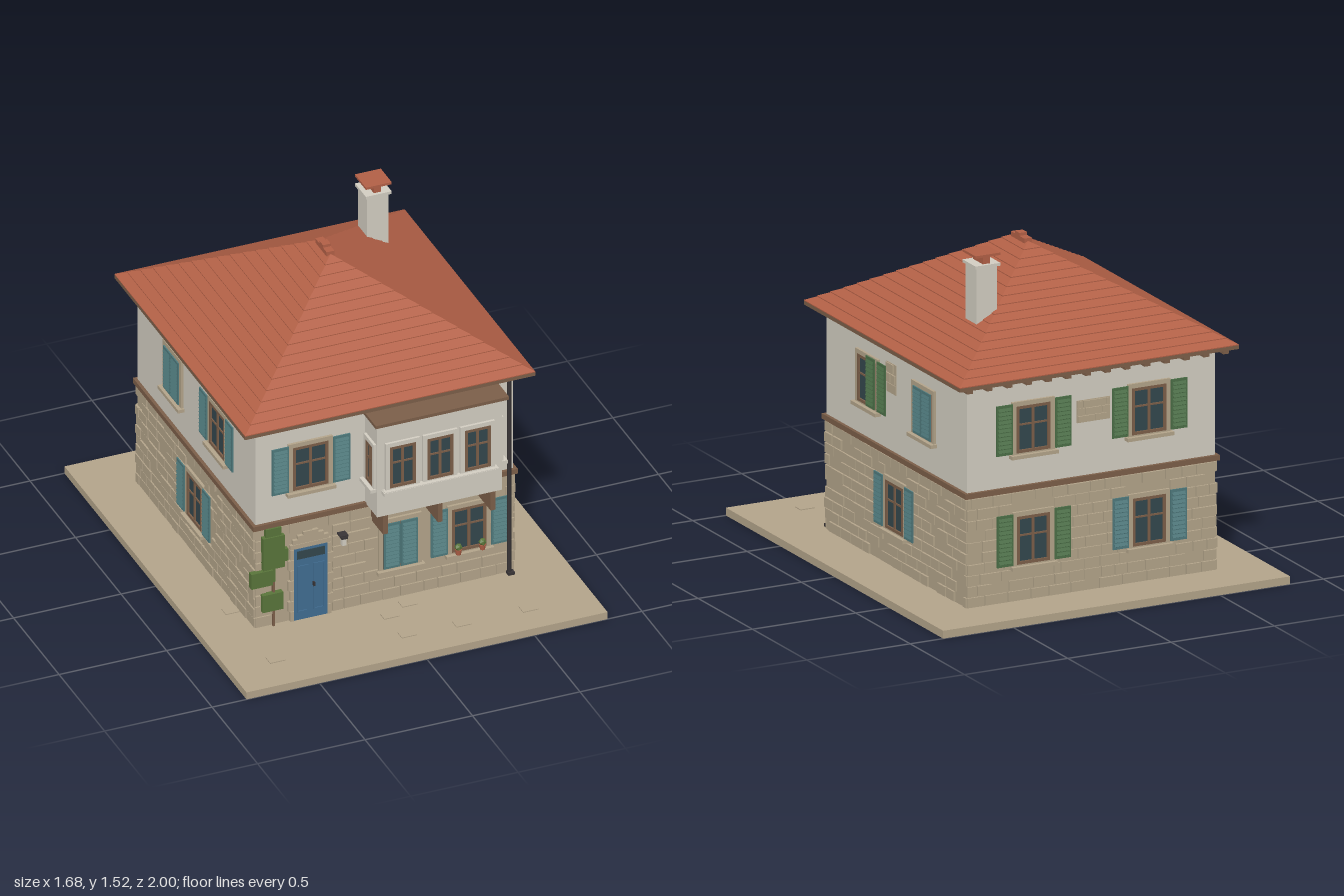
import * as THREE from 'three';
import { mergeGeometries } from 'three/addons/utils/BufferGeometryUtils.js';

const mat = (name, color) => Object.assign(new THREE.MeshStandardMaterial({ color }), { name });
const M = {
  plaster: mat('plaster', 0xd3cec2), stone: mat('stone', 0xb3a48a), roof: mat('roofTile', 0xb26046),
  wood: mat('wood', 0x7c5f49), teal: mat('tealPaint', 0x4f7a7d), green: mat('greenPaint', 0x4c7048),
  leaf: mat('leaf', 0x59753a), glass: mat('glass', 0x33474d), blue: mat('bluePaint', 0x416d92),
  iron: mat('iron', 0x383436),
};

let seed = 11;
const rnd = () => (seed = (seed * 16807) % 2147483647) / 2147483647;

// box geometry from its limits
function boxGeo(x0, x1, y0, y1, z0, z1) {
  return new THREE.BoxGeometry(x1 - x0, y1 - y0, z1 - z0)
    .translate((x0 + x1) / 2, (y0 + y1) / 2, (z0 + z1) / 2);
}
function add(parent, name, material, ...geos) {
  const mesh = new THREE.Mesh(geos.length > 1 ? mergeGeometries(geos) : geos[0], material);
  mesh.name = name;
  parent.add(mesh);
  return mesh;
}
const box = (parent, name, material, ...lim) => add(parent, name, material, boxGeo(...lim));

// group whose local z = 0 plane is a wall surface, z pointing outwards
function face(parent, name, x, z, turn) {
  const g = new THREE.Group();
  g.name = name;
  g.position.set(x, 0, z);
  g.rotation.y = turn * Math.PI / 2;
  parent.add(g);
  return g;
}

// rectangular ring of four bars, t wide, outside the given opening
const ring = (x0, x1, y0, y1, t, z0, z1) => [
  boxGeo(x0 - t, x0, y0 - t, y1 + t, z0, z1), boxGeo(x1, x1 + t, y0 - t, y1 + t, z0, z1),
  boxGeo(x0, x1, y1, y1 + t, z0, z1), boxGeo(x0, x1, y0 - t, y0, z0, z1)];

// louvred shutter
function shutter(g, material, x, y0, y1, w) {
  const geos = [boxGeo(x - w / 2, x + w / 2, y0, y1, 0.012, 0.018)];
  const n = 11, step = (y1 - y0 - 0.02) / n;
  for (let i = 0; i < n; i++) {
    geos.push(new THREE.BoxGeometry(w - 0.016, step * 0.75, 0.004).rotateX(-0.4)
      .translate(x, y0 + 0.01 + step * (i + 0.5), 0.019));
  }
  add(g, 'shutter', material, ...geos);
}

// window: wood frame w wide from y0 to y1, with surround, sill and shutters
function windowUnit(g, x, y0, y1, w, { paint, closed, half, trim = M.stone, bars = true, sill = 0.03 } = {}) {
  const x0 = x - w / 2, x1 = x + w / 2, f = 0.013;
  box(g, 'windowGlass', M.glass, x0, x1, y0, y1, 0, 0.005);
  const frame = ring(x0 + f, x1 - f, y0 + f, y1 - f, f, 0, 0.013);
  if (bars) {
    const yb = y0 + (y1 - y0) * 0.6;
    frame.push(boxGeo(x - 0.006, x + 0.006, y0 + f, y1 - f, 0, 0.011),
      boxGeo(x0 + f, x1 - f, yb - 0.004, yb + 0.004, 0, 0.01));
  }
  add(g, 'windowFrame', M.wood, ...frame);
  add(g, 'windowSurround', trim, ...ring(x0, x1, y0, y1, 0.02, 0, 0.012));
  box(g, 'windowSill', trim, x0 - sill, x1 + sill, y0 - 0.022, y0 - 0.006, 0, 0.03);
  if (!paint) return;
  const top = y1 + 0.015;
  if (closed) for (const s of [-1, 1]) shutter(g, paint, x + s * w / 4, y0, y1, w / 2 - 0.003);
  else {
    shutter(g, paint, x + w / 2 + 0.06, y0, top, 0.078);
    shutter(g, paint, half ? x + w / 4 : x - w / 2 - 0.06, y0, top, 0.078);
  }
}

// coursed blocks over a rectangle, cut back at openings [x0, x1, y0, y1]
function masonry(g, x0, x1, y0, y1, rows, openings, keep = () => rnd() < 0.9) {
  const h = (y1 - y0) / rows, geos = [];
  for (let r = 0; r < rows; r++) {
    const a = y0 + r * h, b = a + h;
    for (let x = x0 - rnd() * 0.05; x < x1;) {
      let l = Math.max(x, x0), e = Math.min(x += 0.06 + rnd() * 0.06, x1);
      for (const [p, q, s, t] of openings) {
        if (b <= s || a >= t || e <= p || l >= q) continue;
        if ((l + e) / 2 < (p + q) / 2) e = p; else l = q;
      }
      if (e - l > 0.02 && keep((l + e) / 2, (a + b) / 2)) {
        geos.push(boxGeo(l + 0.003, e - 0.003, a + 0.003, b - 0.003, 0, 0.006 + rnd() * 0.005));
      }
    }
  }
  add(g, 'stoneBlocks', M.stone, ...geos);
}

// hipped roof lofted in slightly stepped tile courses
function hipRoof() {
  const rings = [], pos = [], courses = 16;
  for (let k = 0; k <= courses; k++) {
    const t = k / courses, hx = 0.675 * (1 - t), hz = 0.7175 * (1 - t) + 0.062 * t, y = 1.052 + 0.385 * t;
    for (const lift of [0, 0.004]) {
      rings.push([[hx, hz], [hx, -hz], [-hx, -hz], [-hx, hz]].map(([x, z]) => [x, y + lift, z - 0.1225]));
    }
  }
  for (let k = 0; k + 1 < rings.length; k++) {
    for (let i = 0; i < 4; i++) {
      const j = (i + 1) % 4, [a, b, c, d] = [rings[k][i], rings[k][j], rings[k + 1][j], rings[k + 1][i]];
      pos.push(...a, ...b, ...c, ...a, ...c, ...d);
    }
  }
  const geo = new THREE.BufferGeometry();
  geo.setAttribute('position', new THREE.Float32BufferAttribute(pos, 3));
  geo.computeVertexNormals();
  return geo;
}

export function createModel() {
  const house = new THREE.Group();
  house.name = 'house';

  // ground and flagstones
  box(house, 'ground', M.stone, -0.84, 0.84, 0, 0.035, -1, 1);
  for (const [x, z] of [[-0.62, 0.8], [-0.02, 0.83], [-0.03, 0.66], [0.08, 0.6], [0.23, 0.84], [0.54, 0.84], [-0.64, 0.36]]) {
    box(house, 'flagstone', M.stone, x - 0.035, x + 0.035, 0.035, 0.039, z - 0.025, z + 0.025);
  }

  // storeys and dividing band
  box(house, 'lowerStorey', M.stone, -0.6, 0.6, 0.035, 0.53, -0.765, 0.53);
  box(house, 'upperStorey', M.plaster, -0.6, 0.6, 0.55, 1.04, -0.765, 0.53);
  box(house, 'floorBand', M.wood, -0.615, 0.615, 0.528, 0.552, -0.78, 0.545);

  // roof, eaves and ridge
  add(house, 'roof', M.roof, hipRoof());
  box(house, 'eaves', M.wood, -0.675, 0.675, 1.035, 1.052, -0.84, 0.595);
  for (let i = 0; i < 14; i++) {
    const x = -0.62 + i * 0.0954;
    box(house, 'rafterTail', M.wood, x - 0.014, x + 0.014, 1.018, 1.035, -0.83, -0.765);
  }
  box(house, 'ridgeCap', M.roof, -0.018, 0.018, 1.425, 1.45, -0.185, -0.06);
  box(house, 'ridgeKnob', M.roof, -0.018, 0.018, 1.45, 1.463, -0.14, -0.1);

  // chimney
  box(house, 'chimney', M.plaster, 0.31, 0.41, 1.2, 1.457, -0.49, -0.39);
  box(house, 'chimneyCollar', M.plaster, 0.3, 0.42, 1.457, 1.47, -0.5, -0.38);
  box(house, 'chimneyVent', M.roof, 0.343, 0.377, 1.47, 1.505, -0.485, -0.395);
  box(house, 'chimneyCap', M.roof, 0.3, 0.42, 1.505, 1.516, -0.5, -0.38);

  // front wall
  const front = face(house, 'frontWall', 0, 0.53, 0);
  windowUnit(front, -0.347, 0.69, 0.905, 0.165, { paint: M.teal });
  windowUnit(front, 0.07, 0.195, 0.42, 0.16, { paint: M.teal, closed: true });
  windowUnit(front, 0.39, 0.2, 0.415, 0.16, { paint: M.teal });
  masonry(front, -0.605, 0.605, 0.035, 0.525, 9,
    [[-0.45, -0.245, 0, 0.47], [-0.03, 0.17, 0.17, 0.44], [0.29, 0.49, 0.17, 0.44]],
    (x, y) => (x > -0.2 && y < 0.14) || (x > -0.24 && x < -0.06) || Math.abs(x) > 0.56 || rnd() < (y > 0.45 ? 0.6 : 0.2));

  // door with stone surround
  box(front, 'door', M.blue, -0.425, -0.27, 0.035, 0.395, 0, 0.012);
  for (const x of [-0.385, -0.31]) add(front, 'doorPanel', M.blue, ...ring(x - 0.02, x + 0.02, 0.08, 0.3, 0.006, 0.01, 0.016));
  box(front, 'doorLight', M.glass, -0.412, -0.283, 0.34, 0.38, 0.01, 0.015);
  box(front, 'doorHandle', M.iron, -0.338, -0.331, 0.195, 0.215, 0.01, 0.024);
  for (const s of [-1, 1]) {
    for (let i = 0; i < 7; i++) {
      const y = 0.035 + i * 0.0515, w = i % 2 ? 0.105 : 0.095;
      box(front, 'doorJamb', M.stone, ...[s * 0.0775, s * w].sort((a, b) => a - b).map(v => v - 0.3475), y, y + 0.048, 0, 0.015);
    }
  }
  [[0.095, 0.395], [0.083, 0.418], [0.06, 0.436], [0.035, 0.452]].forEach(([w, y]) =>
    box(front, 'doorArch', M.stone, -0.3475 - w, -0.3475 + w, y, y + 0.021, 0, 0.015));

  // wall lamp
  box(front, 'lampArm', M.iron, -0.225, -0.187, 0.425, 0.432, 0, 0.05);
  box(front, 'lampGlass', M.plaster, -0.216, -0.196, 0.382, 0.418, 0.03, 0.05);
  box(front, 'lampCap', M.iron, -0.22, -0.192, 0.416, 0.426, 0.026, 0.054);

  // flower pots
  for (const x of [0.335, 0.447]) {
    add(front, 'flowerPot', M.roof, new THREE.CylinderGeometry(0.015, 0.011, 0.025, 10).translate(x, 0.206, 0.024));
    add(front, 'potPlant', M.leaf, new THREE.IcosahedronGeometry(0.018, 0).translate(x, 0.23, 0.024));
  }

  // climbing vine
  box(front, 'vineStem', M.wood, -0.525, -0.516, 0.035, 0.5, 0, 0.018);
  for (const [x0, x1, y0, y1, d] of [[-0.56, -0.487, 0.48, 0.53, 0.024], [-0.575, -0.475, 0.33, 0.49, 0.03],
    [-0.49, -0.457, 0.355, 0.415, 0.026], [-0.63, -0.53, 0.25, 0.325, 0.03], [-0.57, -0.515, 0.26, 0.34, 0.022],
    [-0.578, -0.482, 0.12, 0.205, 0.03]]) {
    box(front, 'vineLeaves', M.leaf, x0, x1, y0, y1, 0.004, d);
  }

  // downpipe
  add(house, 'downpipe', M.iron, new THREE.CylinderGeometry(0.009, 0.009, 1, 10).translate(0.573, 0.537, 0.55));
  box(house, 'pipeShoe', M.iron, 0.563, 0.593, 0.036, 0.05, 0.54, 0.565);

  // projecting bay
  const bay = new THREE.Group();
  bay.name = 'bay';
  house.add(bay);
  box(bay, 'bayBody', M.plaster, -0.09, 0.49, 0.545, 1.012, 0.53, 0.665);
  box(bay, 'bayRoof', M.wood, -0.11, 0.51, 1.012, 1.027, 0.53, 0.697);
  for (const x of [-0.05, 0.205, 0.45]) box(bay, 'bayBracket', M.wood, x - 0.011, x + 0.011, 0.45, 0.545, 0.53, 0.662);
  const bayFront = face(bay, 'bayFront', 0, 0.665, 0);
  for (const x of [0.025, 0.199, 0.373]) windowUnit(bayFront, x, 0.685, 0.89, 0.12, { trim: M.plaster });
  box(bayFront, 'baySill', M.plaster, -0.07, 0.465, 0.66, 0.676, 0, 0.032);
  for (const [x, turn] of [[0.49, 1], [-0.09, -1]]) {
    windowUnit(face(bay, 'baySide', x, 0.6, turn), 0, 0.69, 0.885, 0.07, { trim: M.plaster, sill: 0.025 });
  }

  // side and back walls: stonework and windows
  const right = face(house, 'rightWall', 0.6, 0, 1);
  const back = face(house, 'backWall', 0, -0.765, 2);
  const left = face(house, 'leftWall', -0.6, 0, -1);
  const low = [0.2, 0.415, 0.16], high = [0.7, 0.91, 0.165];
  const opening = x => [x - 0.1, x + 0.1, 0.175, 0.437];

  masonry(right, -0.535, 0.77, 0.035, 0.525, 10, [opening(0.115)]);
  windowUnit(right, 0.115, ...low, { paint: M.teal });
  windowUnit(right, -0.14, ...high, { paint: M.green, half: true });
  windowUnit(right, 0.375, ...high, { paint: M.teal, closed: true });

  masonry(left, -0.77, 0.535, 0.035, 0.525, 10, [opening(-0.115)]);
  windowUnit(left, -0.115, ...low, { paint: M.teal });
  windowUnit(left, 0.135, ...high, { paint: M.teal });
  windowUnit(left, -0.36, ...high, { paint: M.teal, closed: true });

  masonry(back, -0.605, 0.605, 0.035, 0.525, 10, [opening(-0.285), opening(0.275)]);
  windowUnit(back, -0.285, ...low, { paint: M.green });
  windowUnit(back, 0.275, ...low, { paint: M.teal });
  for (const x of [-0.285, 0.275]) windowUnit(back, x, ...high, { paint: M.green });

  // patches of bare stone where plaster is missing
  for (const [g, x0, x1, y0, y1] of [[right, 0.03, 0.115, 0.81, 0.945], [back, -0.07, 0.09, 0.79, 0.89]]) {
    box(g, 'barePatch', M.stone, x0, x1, y0, y1, 0, 0.003);
    masonry(g, x0, x1, y0, y1, 3, [], () => true);
  }
  return house;
}
